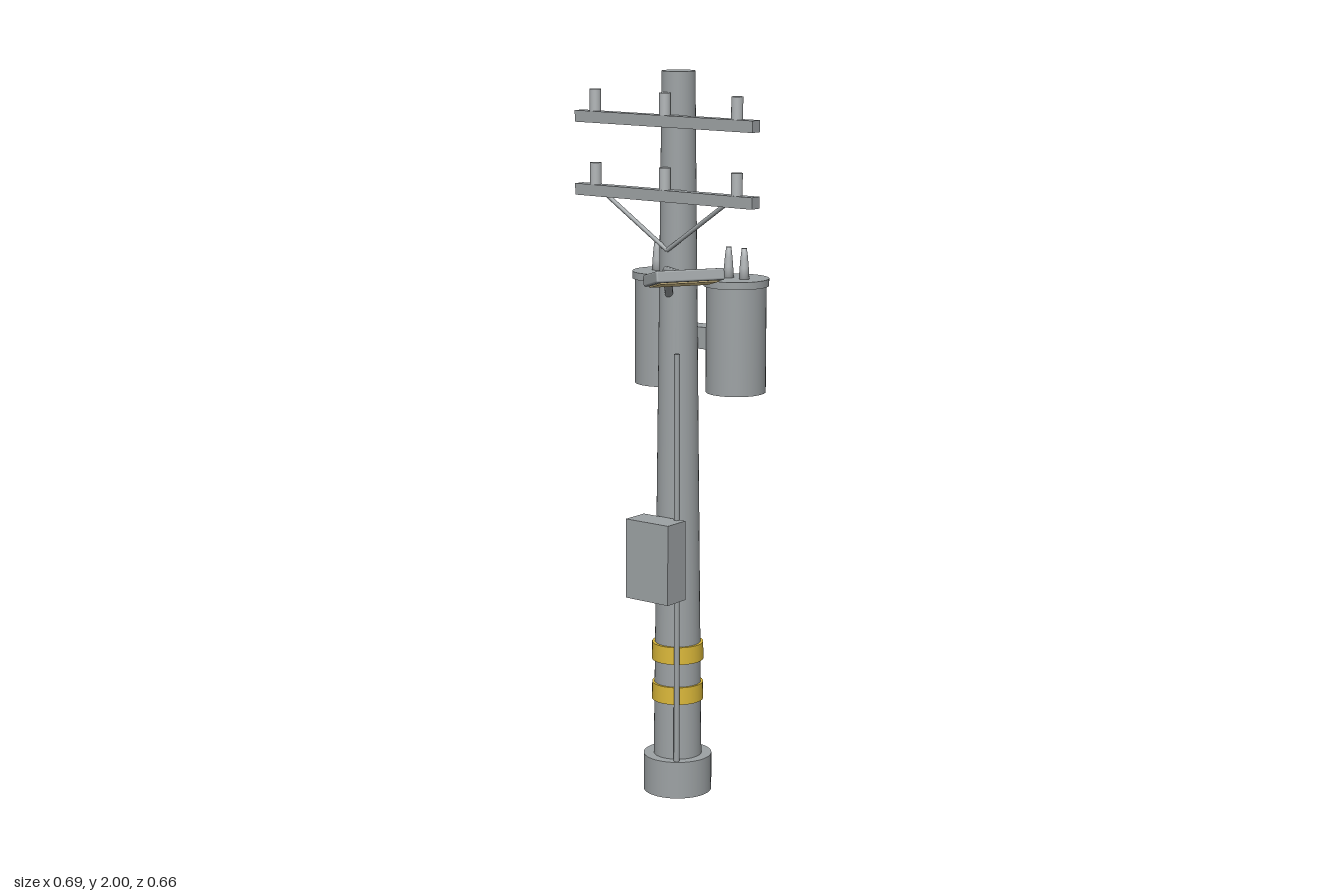
import * as THREE from 'three';
import { RoundedBoxGeometry } from 'three/addons/geometries/RoundedBoxGeometry.js';

export function createModel() {
  const model = new THREE.Group();
  model.name = 'utilityPole';

  const material = (name, color) => {
    const m = new THREE.MeshStandardMaterial({ color });
    m.name = name;
    return m;
  };
  const grey = material('concreteGrey', 0x9da2a4);
  const pale = material('insulatorGrey', 0xb2b6b8);
  const yellow = material('bandYellow', 0xdcb93a);
  const glow = material('lampLens', 0xe2cb90);

  const add = (name, geometry, mat, x = 0, y = 0, z = 0, parent = model) => {
    const mesh = new THREE.Mesh(geometry, mat);
    mesh.name = name;
    mesh.position.set(x, y, z);
    parent.add(mesh);
    return mesh;
  };
  const cylinder = (name, rTop, rBottom, y0, y1, x, z, mat = grey, sides = 32, parent = model) =>
    add(name, new THREE.CylinderGeometry(rTop, rBottom, y1 - y0, sides), mat, x, (y0 + y1) / 2, z, parent);
  const box = (name, x0, x1, y0, y1, z0, z1) =>
    add(name, new THREE.BoxGeometry(x1 - x0, y1 - y0, z1 - z0), grey, (x0 + x1) / 2, (y0 + y1) / 2, (z0 + z1) / 2);
  // Straight round bar between two points
  const rod = (name, a, b, radius) => {
    const from = new THREE.Vector3(...a), to = new THREE.Vector3(...b);
    return add(name, new THREE.TubeGeometry(new THREE.LineCurve3(from, to), 1, radius, 12), grey);
  };

  const px = -0.05, pz = -0.145;

  // Tapered pole, footing and warning bands
  cylinder('pole', 0.045, 0.068, 0, 2, px, pz);
  cylinder('footing', 0.095, 0.095, 0, 0.105, px, pz);
  for (const y of [0.264, 0.379]) cylinder('warningBand', 0.071, 0.0715, y, y + 0.049, px, pz, yellow);

  // Crossarms with three insulators each
  for (const y of [1.657, 1.855]) {
    box('crossarm', -0.346, 0.248, y, y + 0.031, -0.102, -0.069);
    for (const dx of [-0.237, 0, 0.237]) {
      cylinder('insulator', 0.0155, 0.0155, y + 0.031, y + 0.09, px + dx, -0.0855, pale, 20);
    }
  }

  for (const side of [-1, 1]) {
    // Diagonal brace under the lower crossarm
    rod('crossarmBrace', [px, 1.525, -0.096], [px + side * 0.2, 1.662, -0.086], 0.006);

    // Transformer can with lid and two bushings
    const x = px + side * 0.1225, z = -0.243;
    cylinder('transformerTank', 0.082, 0.082, 1.132, 1.425, x, z, grey, 40);
    cylinder('transformerLid', 0.089, 0.089, 1.424, 1.444, x, z, grey, 40);
    for (const dx of [-0.026, 0.026]) {
      const bushing = [[0, 0], [0.0145, 0], [0.0125, 0.03], [0.0105, 0.055], [0.007, 0.083], [0, 0.083]];
      add('transformerBushing',
        new THREE.LatheGeometry(bushing.map(p => new THREE.Vector2(...p)), 16), pale, x + dx, 1.444, z);
    }
  }
  box('transformerBracket', -0.13, 0.03, 1.25, 1.31, -0.241, -0.185);

  // Service box and conduit
  box('serviceBox', -0.122, 0.022, 0.57, 0.792, -0.085, -0.006);
  cylinder('conduit', 0.008, 0.008, 0.1, 1.25, -0.003, -0.079, grey, 12);

  // Bent lamp arm
  const elbow = [0.058, 1.495, 0.045];
  rod('lampArmLower', [px, 1.405, -0.105], elbow, 0.0115);
  rod('lampArmUpper', elbow, [0.215, 1.512, 0.19], 0.0115);
  add('lampArmElbow', new THREE.SphereGeometry(0.0115, 12, 8), grey, ...elbow);

  // Tilted lamp head with a lens underneath
  const lamp = new THREE.Group();
  lamp.name = 'lampHead';
  lamp.position.set(0.249, 1.513, 0.223);
  lamp.rotation.set(0, -0.575, 0.23, 'YXZ');
  model.add(lamp);
  add('lampHousing', new RoundedBoxGeometry(0.108, 0.03, 0.182, 2, 0.005), grey, 0, 0, 0, lamp);
  add('lampLens', new THREE.BoxGeometry(0.086, 0.006, 0.156), glow, 0, -0.0155, 0, lamp);

  return model;
}
